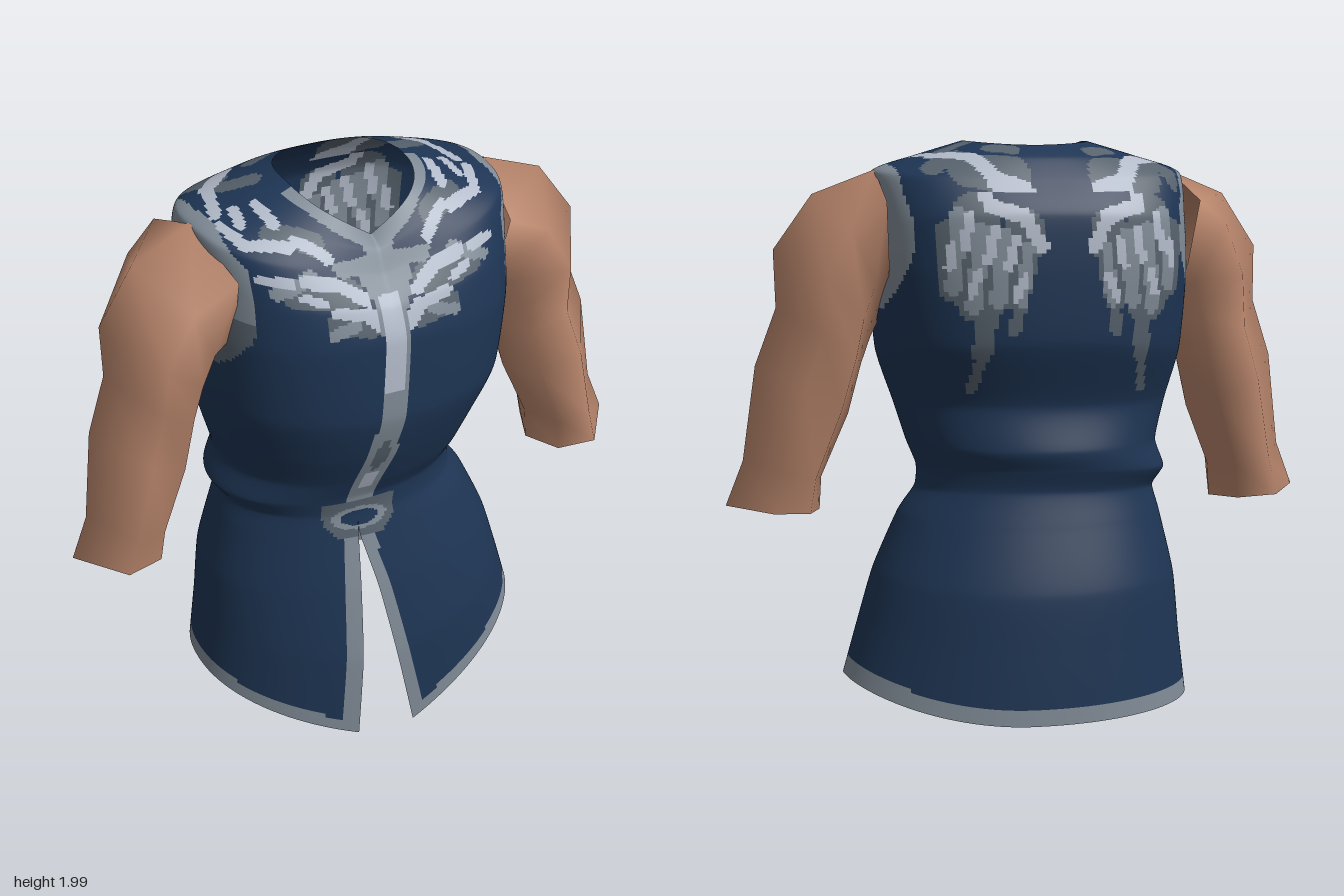
import * as THREE from 'three';
import { mergeVertices } from 'three/addons/utils/BufferGeometryUtils.js';

const mat = (name, color) => {
  const m = new THREE.MeshStandardMaterial({ color, side: THREE.DoubleSide });
  m.name = name;
  return m;
};

// Rings from neck to hem:
// [yFront, yLeft, yBack, yRight, xLeft, xRight, zFront, zBack, squareness, seamLeft, seamRight]
const bodice = [
  [1.87, 1.995, 1.98, 1.995, 0.19, -0.19, 0.205, -0.18, 2.4, -0.02, -0.02],
  [1.84, 1.95, 1.94, 1.95, 0.34, -0.34, 0.25, -0.245, 2.4, -0.02, -0.02],
  [1.78, 1.90, 1.87, 1.90, 0.475, -0.475, 0.29, -0.30, 2.6, -0.025, -0.025],
  [1.70, 1.75, 1.77, 1.75, 0.475, -0.475, 0.355, -0.355, 2.8, -0.03, -0.03],
  [1.60, 1.58, 1.60, 1.58, 0.478, -0.485, 0.39, -0.365, 2.7, -0.03, -0.03],
  [1.34, 1.34, 1.38, 1.34, 0.46, -0.48, 0.40, -0.355, 2.4, -0.045, -0.045],
  [1.18, 1.18, 1.18, 1.18, 0.41, -0.45, 0.36, -0.285, 2.2, -0.06, -0.06],
  [1.05, 1.05, 1.04, 1.05, 0.37, -0.42, 0.31, -0.315, 2.1, -0.08, -0.08],
];
const skirt = [
  [0.97, 0.97, 0.98, 0.96, 0.34, -0.45, 0.275, -0.30, 2.1, -0.085, -0.085],
  [0.90, 0.90, 0.91, 0.90, 0.345, -0.415, 0.27, -0.28, 2.1, -0.09, -0.09],
  [0.82, 0.82, 0.80, 0.82, 0.40, -0.435, 0.285, -0.31, 2.1, -0.09, -0.095],
  [0.62, 0.64, 0.60, 0.62, 0.48, -0.48, 0.325, -0.37, 2.1, -0.045, -0.105],
  [0.34, 0.47, 0.40, 0.42, 0.53, -0.50, 0.36, -0.385, 2.1, 0.005, -0.115],
  [0.01, 0.30, 0.20, 0.22, 0.58, -0.525, 0.36, -0.395, 2.1, 0.07, -0.13],
];

// Smooth interpolation between rings
function ringAt(rings, t) {
  const n = rings.length - 1, i = Math.min(Math.floor(t), n - 1), f = t - i;
  const at = (k) => rings[Math.max(0, Math.min(n, k))];
  return rings[i].map((p1, k) => {
    const p0 = at(i - 1)[k], p2 = at(i + 1)[k], p3 = at(i + 2)[k];
    const m1 = (p2 - p0) * 0.3, m2 = (p3 - p1) * 0.3, f2 = f * f, f3 = f2 * f;
    return p1 * (2 * f3 - 3 * f2 + 1) + m1 * (f3 - 2 * f2 + f) + p2 * (3 * f2 - 2 * f3) + m2 * (f3 - f2);
  });
}

// Point on a ring, u running from the front seam round by the left side and back
function ringPoint([yF, yL, yB, yR, xL, xR, zF, zB, n, sL, sR], u) {
  const cx = (xL + xR) / 2, w = (xL - xR) / 2;
  const a0 = Math.atan((sL - cx) / w), a1 = Math.PI * 2 + Math.atan((sR - cx) / w);
  const a = a0 + (a1 - a0) * u, s = Math.sin(a), c = Math.cos(a);
  const r = Math.pow(Math.abs(s) ** n + Math.abs(c) ** n, -1 / n);
  // the squarer chest rings are broader across the back
  const x = cx + w * r * s * (1 - (n - 2) * 0.08 * c);
  const z = r * c * (c > 0 ? zF : -zB) + x * 0.1;
  const k = Math.abs(Math.sin(Math.PI * 2 * u)), front = u < 0.25 || u > 0.75;
  const side = u < 0.5 ? yL : yR;
  const y = front ? yF + (side - yF) * k : yB + (side - yB) * k * k;
  return [x, y, z];
}

// Embroidery strokes [radius, x1, v1, x2, v2], mirrored left and right; v is height, or z on the shoulders
const frontSilver = [
  [0.022, 0.02, 1.64, 0.08, 1.70], [0.016, 0.09, 1.70, 0.17, 1.72], [0.017, 0.08, 1.74, 0.15, 1.79],
  [0.017, 0.15, 1.79, 0.24, 1.81], [0.013, 0.20, 1.75, 0.25, 1.77], [0.014, 0.28, 1.81, 0.35, 1.82],
];
const frontTrim = [
  [0.04, 0, 1.70, 0.05, 1.82], [0.03, 0.05, 1.83, 0.12, 1.83], [0.018, 0.12, 1.68, 0.19, 1.66],
  [0.018, 0.22, 1.82, 0.32, 1.78],
];
const frontSlate = [[0.035, 0.08, 1.67, 0.17, 1.69], [0.04, 0.12, 1.76, 0.27, 1.78]];
const topSilver = [
  [0.022, 0.11, -0.32, 0.20, -0.29], [0.024, 0.20, -0.29, 0.25, -0.20], [0.024, 0.25, -0.20, 0.34, -0.12],
  [0.018, 0.34, -0.12, 0.38, 0.02], [0.018, 0.27, 0.05, 0.26, 0.14], [0.016, 0.33, 0.03, 0.34, 0.10],
  [0.016, 0.39, 0.06, 0.36, 0.16], [0.016, 0.36, 0.16, 0.25, 0.21], [0.014, 0.23, 0.20, 0.15, 0.26],
];
const topSlate = [
  [0.05, 0.14, -0.28, 0.28, -0.24], [0.04, 0.30, -0.16, 0.36, -0.20], [0.03, 0.23, -0.06, 0.30, -0.09],
  [0.03, 0.28, 0.16, 0.18, 0.22], [0.025, 0.12, -0.20, 0.18, -0.17],
];
const backSilver = [
  [0.022, 0.25, 1.89, 0.23, 1.80], [0.024, 0.23, 1.80, 0.13, 1.77], [0.022, 0.13, 1.77, 0.08, 1.68],
  [0.015, 0.16, 1.70, 0.18, 1.62], [0.015, 0.22, 1.73, 0.24, 1.64], [0.015, 0.29, 1.77, 0.31, 1.68],
  [0.014, 0.13, 1.59, 0.16, 1.53], [0.014, 0.27, 1.60, 0.29, 1.54], [0.014, 0.34, 1.69, 0.35, 1.62],
];
const backTrim = [
  [0.026, 0.19, 1.71, 0.21, 1.52], [0.024, 0.26, 1.73, 0.28, 1.50], [0.022, 0.32, 1.78, 0.34, 1.56],
  [0.02, 0.12, 1.68, 0.14, 1.52],
];
const backSlate = [
  [0.06, 0.13, 1.73, 0.17, 1.56], [0.07, 0.27, 1.77, 0.26, 1.52], [0.04, 0.35, 1.72, 0.34, 1.56],
  [0.03, 0.24, 1.50, 0.25, 1.36], [0.016, 0.25, 1.36, 0.27, 1.24], [0.02, 0.14, 1.54, 0.16, 1.43],
];

function hit(strokes, x, v) {
  const ax = Math.abs(x);
  return strokes.some(([r, x1, v1, x2, v2]) => {
    const dx = x2 - x1, dv = v2 - v1;
    const t = Math.max(0, Math.min(1, ((ax - x1) * dx + (v - v1) * dv) / (dx * dx + dv * dv)));
    return Math.hypot(ax - x1 - t * dx, v - v1 - t * dv) < r;
  });
}

const NAVY = 0, TRIM = 1, SILVER = 2, SLATE = 3;

// Colour of one cloth cell
function clothColour(x, y, z, t, hemGap, edge) {
  if (hemGap < 0.06) return TRIM;
  // collar, deepest at the throat
  if (z > 0.03 && t < 1 - 4 * Math.abs(x + 0.02)) return TRIM;
  if (z > 0.03 && t < 0.35) return TRIM;
  const armZ = z - x * 0.1;
  if (Math.abs(x) > 0.4 && ((y - 1.7) / 0.225) ** 2 + (armZ / 0.26) ** 2 < 1) return z > 0 && y < 1.68 ? SLATE : TRIM;
  if (Math.abs(x) > 0.435 && y > 1.8) return TRIM;
  if (z > 0) {
    // belt clasp
    const bx = Math.abs(x + 0.085), by = Math.abs(y - 0.885);
    const oval = (bx / 0.06) ** 2 + (by / 0.028) ** 2;
    if (oval < 1) return NAVY;
    if (oval < 2.2) return TRIM;
    if (bx < 0.115 - Math.max(0, 0.87 - y) * 0.8 && by < 0.068) return SLATE;
    // centre stripe and slit edging
    if ((edge / 0.022) ** 2 + ((y - 1.18) / 0.07) ** 2 < 1) return SLATE;
    if (edge < 0.032 && y > 1.45 && y < 1.74) return SILVER;
    if (edge < 0.02 && y > 1.02 && y < 1.10) return SILVER;
    if (edge < 0.044) return TRIM;
  }
  const layers = y > 1.84 ? [topSilver, [], topSlate]
    : z > 0 ? [frontSilver, frontTrim, frontSlate] : [backSilver, backTrim, backSlate];
  const px = x + 0.025, v = y > 1.84 ? armZ : y;
  if (hit(layers[0], px, v)) return SILVER;
  if (hit(layers[1], px, v)) return TRIM;
  return hit(layers[2], px, v) ? SLATE : NAVY;
}

// Lofted skin through a grid of points; colourOf(row, col) picks a material index
function loft(rows, cols, pointAt, colourOf) {
  const pos = [], bins = [[], [], [], []];
  for (let r = 0; r <= rows; r++) for (let c = 0; c <= cols; c++) pos.push(...pointAt(r, c));
  for (let r = 0; r < rows; r++) for (let c = 0; c < cols; c++) {
    const a = r * (cols + 1) + c, b = a + cols + 1;
    bins[colourOf(r, c)].push(a, b, b + 1, a, b + 1, a + 1);
  }
  const open = new THREE.BufferGeometry();
  open.setAttribute('position', new THREE.Float32BufferAttribute(pos, 3));
  open.setIndex(bins.flat());
  const g = mergeVertices(open, 1e-4);
  let start = 0;
  bins.forEach((b, i) => { if (b.length) g.addGroup(start, b.length, i); start += b.length; });
  g.computeVertexNormals();
  return g;
}

function makeTunic(materials) {
  const rings = [...bodice, ...skirt], per = 18, rows = (rings.length - 1) * per, cols = 220;
  const fine = Array.from({ length: rows + 1 }, (_, r) => ringAt(rings, r / per));
  const hem = fine[rows];
  const geo = loft(rows, cols, (r, c) => ringPoint(fine[r], c / cols), (r, c) => {
    const u = (c + 0.5) / cols, ring = fine[r];
    const [x, y, z] = ringPoint(ring, u);
    const edge = Math.min(Math.abs(x - ring[9]), Math.abs(x - ring[10]));
    return clothColour(x, y, z, (r + 0.5) / per, y - ringPoint(hem, u)[1], edge);
  });
  const mesh = new THREE.Mesh(geo, materials);
  mesh.name = 'tunic';
  return mesh;
}

// Arm rings: [outerX, outerY, innerX, innerY, zFront, zBack, lift of front and back corners, backward swing]
const armRings = [
  [0.475, 1.905, 0.445, 1.46, 0.255, -0.2, 0.09, 0.03], [0.67, 1.83, 0.465, 1.43, 0.26, -0.165, 0.07, 0.01],
  [0.79, 1.66, 0.485, 1.38, 0.265, -0.135, 0.03, 0], [0.785, 1.48, 0.515, 1.30, 0.25, -0.125, 0, 0],
  [0.85, 1.30, 0.555, 1.14, 0.27, -0.11, 0, 0], [0.89, 1.00, 0.64, 0.94, 0.265, -0.065, 0, 0],
  [0.945, 0.86, 0.645, 0.835, 0.26, -0.045, 0, 0],
];
// Corners of the six-sided arm section, in degrees from the outer edge
const armCorners = [0, 80, 130, 180, 230, 280];

function makeArm(side, skin) {
  const geo = loft(armRings.length - 1, 6, (r, c) => {
    const [ox, oy, ix, iy, zF, zB, lift, swing] = armRings[r];
    const a = THREE.MathUtils.degToRad(armCorners[(side > 0 ? 6 - c : c) % 6]);
    const k = Math.cos(a) / 2, s = Math.sin(a);
    const shift = side > 0 ? 0 : -0.08 - 0.008 * r;
    return [side * ((ox + ix) / 2 + (ox - ix) * k - swing * s), (oy + iy) / 2 + (oy - iy) * k + lift * Math.abs(s),
      (zF + zB) / 2 + (zF - zB) / 2 * s + shift];
  }, () => 0);
  geo.clearGroups();
  const mesh = new THREE.Mesh(geo, skin);
  mesh.name = side > 0 ? 'leftArm' : 'rightArm';
  return mesh;
}

export function createModel() {
  const group = new THREE.Group();
  group.name = 'tunicWithArms';
  const cloth = [mat('navyCloth', 0x1e3554), mat('greyTrim', 0x808b96),
    mat('silverThread', 0xb3bbca), mat('slateThread', 0x57626d)];
  const skin = mat('skin', 0xb9866c);
  group.add(makeTunic(cloth), makeArm(1, skin), makeArm(-1, skin));
  return group;
}
